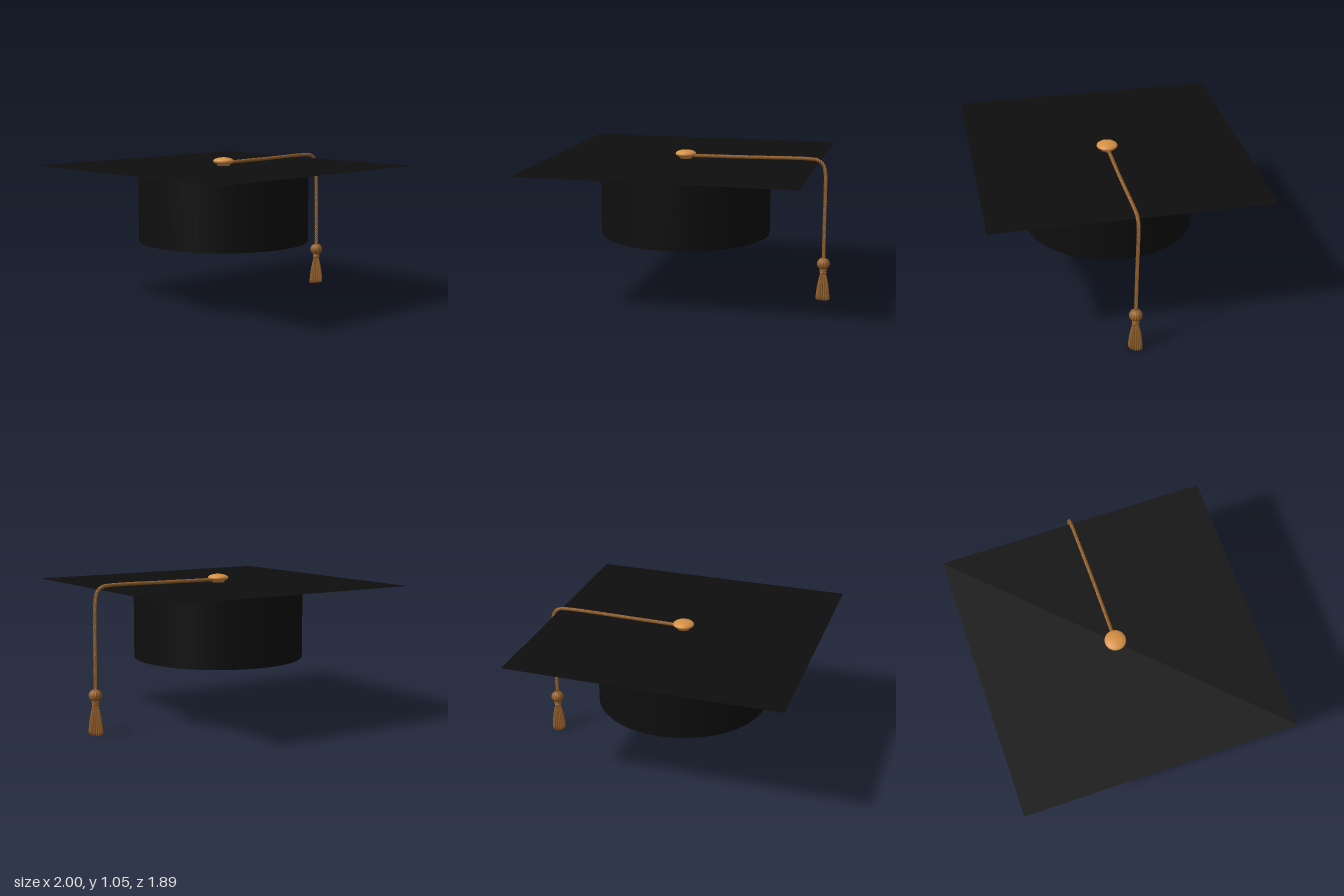
import * as THREE from 'three';

const CENTER_X = -0.053;
const TASSEL_X = 0.947;
const TAU = Math.PI * 2;

const fabric = new THREE.MeshStandardMaterial({ color: 0x0e0e0e, side: THREE.DoubleSide });
const gold = new THREE.MeshStandardMaterial({ color: 0xd69045 });
const cordGold = new THREE.MeshStandardMaterial({ color: 0x94602a, side: THREE.DoubleSide });

function add(parent, name, geometry, material, x = 0, y = 0, z = 0) {
  const mesh = new THREE.Mesh(geometry, material);
  mesh.name = name;
  mesh.position.set(x, y, z);
  parent.add(mesh);
  return mesh;
}

const lathe = (profile, segments) =>
  new THREE.LatheGeometry(profile.map(([r, y]) => new THREE.Vector2(r, y)), segments);

// Presses grooves into a round geometry; twist slants them along y
function flute(geometry, count, depth, twist) {
  const p = geometry.attributes.position;
  for (let i = 0; i < p.count; i++) {
    const x = p.getX(i), y = p.getY(i), z = p.getZ(i);
    const k = 1 - depth * (0.5 + 0.5 * Math.cos(count * Math.atan2(z, x) + twist * y));
    p.setXYZ(i, x * k, y, z * k);
  }
  geometry.computeVertexNormals();
  return geometry;
}

// One strand winding around the cord's centre line
class Strand extends THREE.Curve {
  constructor(path, radius, turns, phase) {
    super();
    Object.assign(this, { path, radius, turns, phase });
  }
  getPoint(t, target = new THREE.Vector3()) {
    const tangent = this.path.getTangentAt(t);
    const side = new THREE.Vector3(0, 0, 1);
    const normal = new THREE.Vector3().crossVectors(side, tangent).normalize();
    const a = t * this.turns * TAU + this.phase;
    return target.copy(this.path.getPointAt(t))
      .addScaledVector(normal, this.radius * Math.cos(a))
      .addScaledVector(side, this.radius * Math.sin(a));
  }
}

function makeCord() {
  const cord = new THREE.Group();
  cord.name = 'cord';
  const path = new THREE.CatmullRomCurve3([
    [CENTER_X, 1.008, 0], [0.4, 1.013, 0], [0.82, 1.017, -0.006], [0.885, 1.01, -0.007],
    [0.925, 0.98, -0.007], [0.942, 0.92, -0.006], [0.946, 0.8, -0.003],
    [0.946, 0.55, 0.002], [TASSEL_X, 0.29, 0.005],
  ].map((p) => new THREE.Vector3(...p)), false, 'centripetal');
  for (let i = 0; i < 3; i++) {
    const strand = new Strand(path, 0.0062, 32, (i * TAU) / 3);
    add(cord, 'cordStrand', new THREE.TubeGeometry(strand, 400, 0.0072, 6), cordGold);
  }
  return cord;
}

function makeTassel() {
  const tassel = new THREE.Group();
  tassel.name = 'tassel';
  tassel.position.set(TASSEL_X, 0, 0.005);

  // Wound knot
  const knot = new THREE.SphereGeometry(0.046, 72, 24);
  knot.scale(1, 0.93, 1);
  add(tassel, 'knot', flute(knot, 14, 0.09, 55), cordGold, 0, 0.272, 0);

  // Binding around the neck
  for (let i = 0; i < 3; i++) {
    const ring = new THREE.TorusGeometry(0.019, 0.007, 8, 24).rotateX(Math.PI / 2);
    add(tassel, 'neckBinding', ring, cordGold, 0, 0.232 - i * 0.011, 0);
  }

  // Flared fringe with a closed, slightly slanted lower end
  const fringe = flute(lathe([
    [0, 0.01], [0.03, 0.01], [0.05, 0.008], [0.0495, 0.03], [0.046, 0.07],
    [0.039, 0.12], [0.03, 0.165], [0.021, 0.2], [0.019, 0.225], [0, 0.228],
  ], 108), 18, 0.2, 0);
  const p = fringe.attributes.position;
  for (let i = 0; i < p.count; i++) {
    const low = 1 - p.getY(i) / 0.228;
    p.setY(i, p.getY(i) + 0.15 * p.getZ(i) * low);
  }
  fringe.computeVertexNormals();
  add(tassel, 'fringe', fringe, cordGold);
  return tassel;
}

export function createModel() {
  const model = new THREE.Group();
  model.name = 'graduationCap';

  // Flat square board
  const board = new THREE.PlaneGeometry(1.895, 1.895).rotateX(-Math.PI / 2);
  add(model, 'board', board, fabric, CENTER_X, 0.988, 0);

  // Skull band, open underneath
  const band = new THREE.CylinderGeometry(0.605, 0.605, 0.53, 64, 1, true);
  add(model, 'skullBand', band, fabric, CENTER_X, 0.722, 0);

  // Button with a short foot
  const button = lathe([
    [0, -0.032], [0.045, -0.032], [0.045, -0.021], [0.06, -0.015], [0.071, -0.007],
    [0.074, 0], [0.071, 0.008], [0.06, 0.016], [0.04, 0.023], [0.02, 0.026], [0, 0.027],
  ], 48);
  add(model, 'button', button, gold, CENTER_X, 1.021, 0);

  model.add(makeCord(), makeTassel());
  return model;
}
